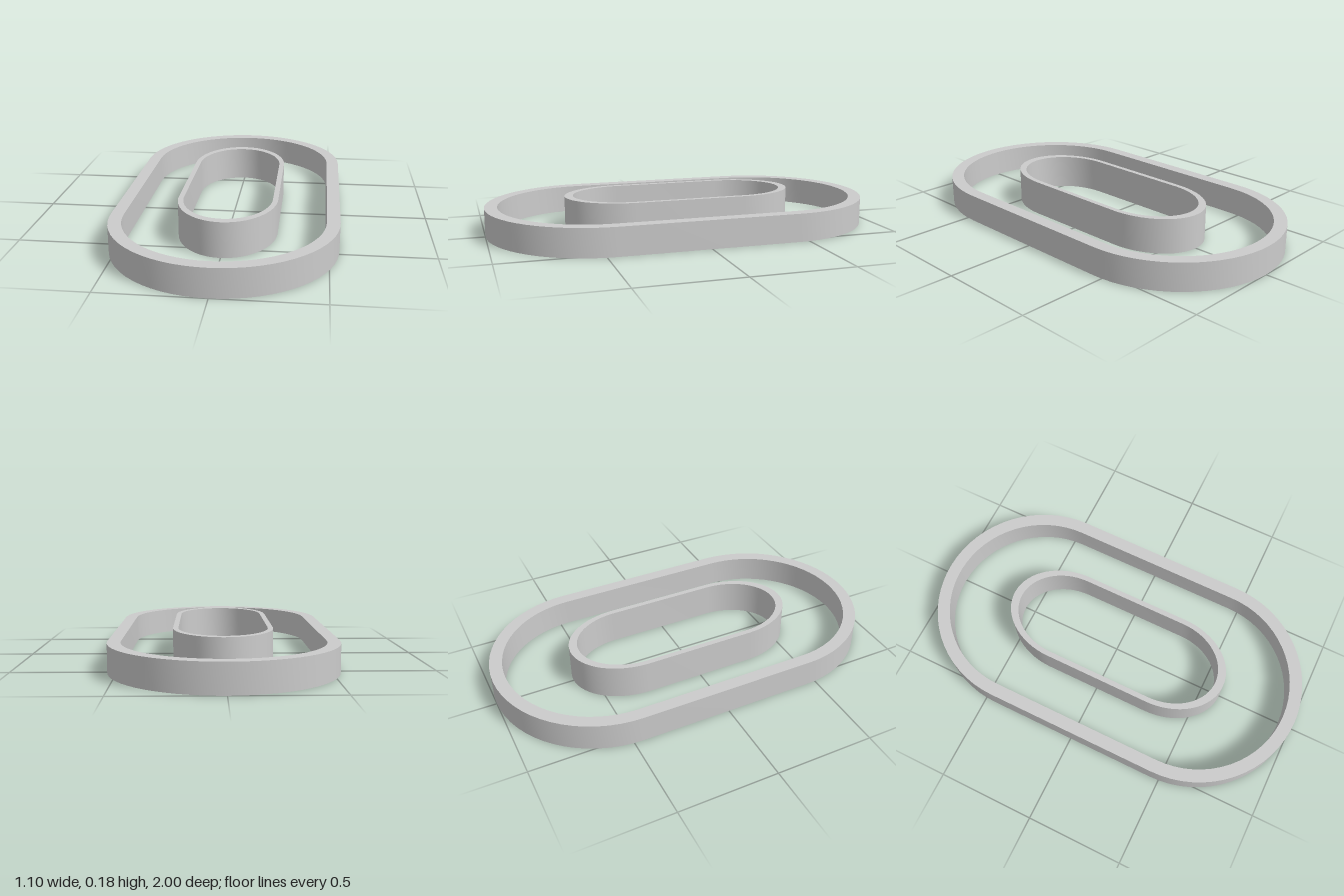
import * as THREE from 'three';
import { toCreasedNormals } from 'three/addons/utils/BufferGeometryUtils.js';

const material = new THREE.MeshStandardMaterial({ color: 0xcccccc });

// Slot outline: straight sides up to +-straight, closed by half ellipses
function slot(path, halfWidth, halfLength, straight) {
  const rise = halfLength - straight;
  path.moveTo(halfWidth, -straight);
  path.lineTo(halfWidth, straight);
  path.absellipse(0, straight, halfWidth, rise, 0, Math.PI, false, 0);
  path.lineTo(-halfWidth, -straight);
  path.absellipse(0, -straight, halfWidth, rise, Math.PI, Math.PI * 2, false, 0);
  return path;
}

// Upright band with a slot-shaped opening
function band(name, outer, inner, straight, height) {
  const shape = slot(new THREE.Shape(), ...outer, straight);
  shape.holes.push(slot(new THREE.Path(), ...inner, straight));
  const extruded = new THREE.ExtrudeGeometry(shape, { depth: height, bevelEnabled: false, curveSegments: 16 });
  extruded.rotateX(-Math.PI / 2);
  const mesh = new THREE.Mesh(toCreasedNormals(extruded, Math.PI / 6), material);
  mesh.name = name;
  return mesh;
}

export function createModel() {
  const group = new THREE.Group();
  group.name = 'nestedOvalBands';
  group.add(band('outerBand', [0.548, 1.0], [0.484, 0.936], 0.45, 0.14));
  group.add(band('innerBand', [0.246, 0.6], [0.22, 0.557], 0.28, 0.178));
  return group;
}
